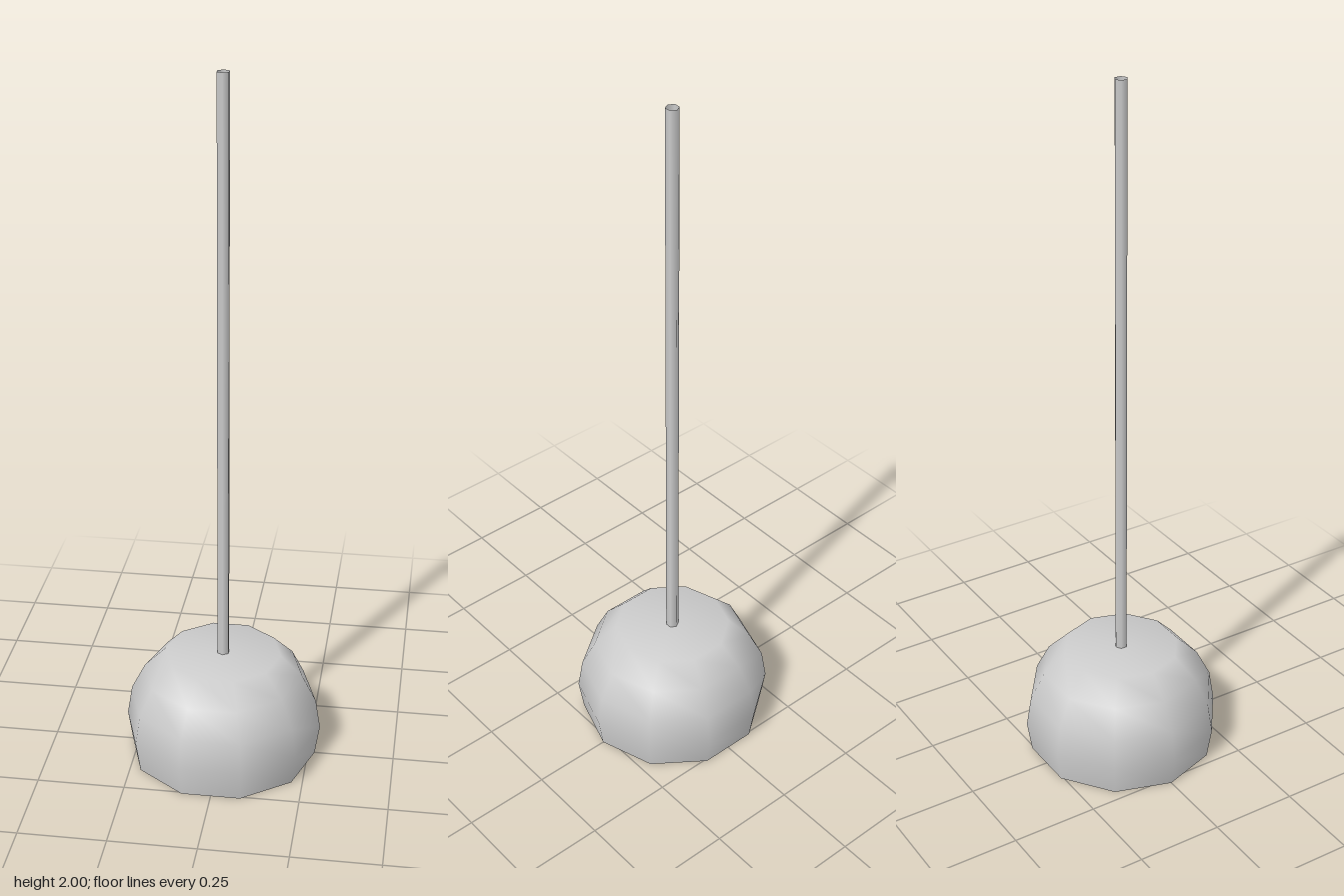
import * as THREE from 'three';

const SIDES = 10;
const grey = () => new THREE.MeshStandardMaterial({ color: 0xcccccc });

// Cut sphere profile from the rim at y = 0 up to the middle of the flat top
function domeProfile(radius) {
  const centreY = 0.09;
  const points = [];
  for (let i = -1; i <= 3; i++) {
    const a = i * Math.PI / 10;
    points.push([radius * Math.cos(a), i < 0 ? 0 : centreY + radius * Math.sin(a)]);
  }
  points.push([0, points[4][1]]);
  return points;
}

// Ten-sided surface of revolution with a corner on +x; points are [radius, height]
function turned(name, points) {
  const profile = points.map(([r, y]) => new THREE.Vector2(r, y));
  const mesh = new THREE.Mesh(new THREE.LatheGeometry(profile, SIDES, Math.PI / 2), grey());
  mesh.name = name;
  return mesh;
}

export function createModel() {
  const model = new THREE.Group();
  model.name = 'pendantLamp';

  // Hollow shade: outer dome, inner dome facing inwards, and the rim joining them
  const outer = domeProfile(0.284);
  const inner = domeProfile(0.27);
  const shade = new THREE.Group();
  shade.name = 'shade';
  shade.add(
    turned('shadeOuter', outer),
    turned('shadeInner', [...inner].reverse()),
    turned('shadeRim', [inner[0], outer[0]]),
  );
  model.add(shade);

  // Thin open tube from the top of the shade upwards
  const topY = outer[4][1];
  const length = 2 - topY;
  const material = grey();
  material.side = THREE.DoubleSide;
  const rod = new THREE.Mesh(new THREE.CylinderGeometry(0.018, 0.018, length, 6, 1, true), material);
  rod.position.y = topY + length / 2;
  rod.name = 'hangingRod';
  model.add(rod);

  return model;
}
